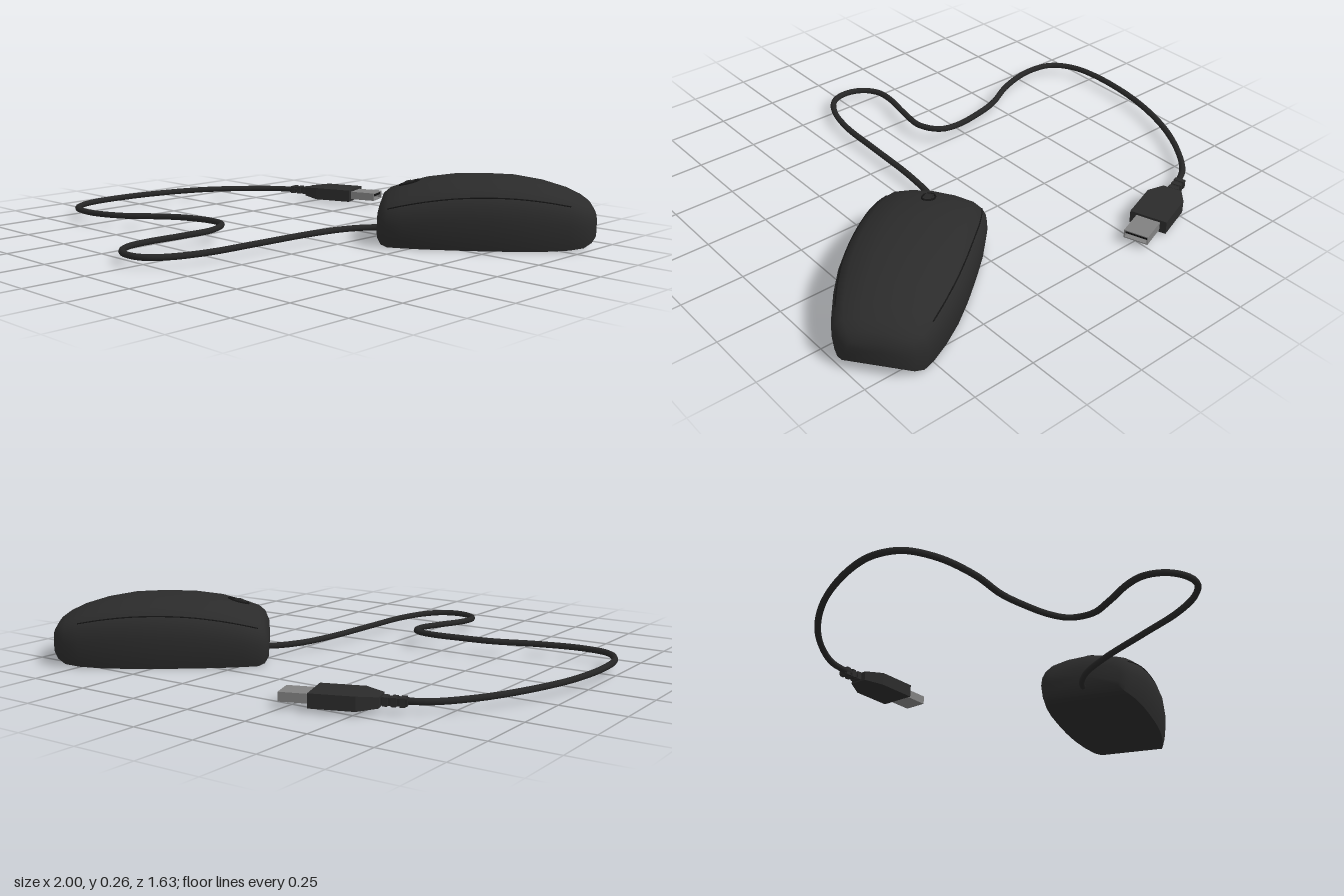
import * as THREE from 'three';
import { toCreasedNormals } from 'three/addons/utils/BufferGeometryUtils.js';

const mat = (name, color) => new THREE.MeshStandardMaterial({ name, color });

// Skins a row of closed sections (loops of [x, y, z], running from +z over the top to -z)
function loft(sections, crease) {
  const pos = [];
  const tri = (...pts) => pts.forEach((p) => pos.push(...p));
  const n = sections[0].length;
  const centre = (s) => [0, 1, 2].map((k) => s.reduce((sum, p) => sum + p[k], 0) / n);
  const first = sections[0], last = sections[sections.length - 1];
  for (let j = 0; j < n; j++) {
    const k = (j + 1) % n;
    for (let i = 0; i < sections.length - 1; i++) {
      const a = sections[i], b = sections[i + 1];
      tri(a[j], b[j], a[k]);
      tri(b[j], b[k], a[k]);
    }
    tri(centre(first), first[j], first[k]);
    tri(centre(last), last[k], last[j]);
  }
  const geo = new THREE.BufferGeometry();
  geo.setAttribute('position', new THREE.Float32BufferAttribute(pos, 3));
  return toCreasedNormals(geo, crease);
}

// Shell stations from nose to tail: [x, half width, bottom, seam height, top]
const STATIONS = [
  [-0.395, 0.162, 0.03, 0.11, 0.13],
  [-0.38, 0.187, 0.008, 0.135, 0.175],
  [-0.355, 0.203, 0, 0.148, 0.197],
  [-0.3, 0.215, 0, 0.163, 0.217],
  [-0.21, 0.226, 0, 0.182, 0.243],
  [-0.1, 0.23, 0, 0.197, 0.258],
  [0.02, 0.23, 0, 0.203, 0.261],
  [0.13, 0.223, 0, 0.2, 0.258],
  [0.24, 0.205, 0, 0.187, 0.24],
  [0.33, 0.183, 0.003, 0.17, 0.213],
  [0.385, 0.163, 0.01, 0.153, 0.187],
  [0.415, 0.135, 0.025, 0.138, 0.165],
  [0.434, 0.1, 0.045, 0.118, 0.135],
];

function shellSection([x, w, b, s, t]) {
  const half = [
    [0.91, b], [0.96, b + (s - b) * 0.2], [1, b + (s - b) * 0.58], [0.975, b + (s - b) * 0.82],
    [0.9, s], [0.74, s + (t - s) * 0.5], [0.4, s + (t - s) * 0.87],
  ].map(([k, y]) => [x, y, k * w]);
  const mirrored = half.map(([px, y, z]) => [px, y, -z]).reverse();
  return [...half, [x, t, 0], ...mirrored];
}

export function createModel() {
  const shellMat = mat('charcoal plastic', 0x2b2b2b);
  const cableMat = mat('cable rubber', 0x262626);
  const darkMat = mat('black gap', 0x151515);
  const metalMat = mat('plug metal', 0x808080);

  const model = new THREE.Group();
  const add = (parent, name, geo, material, x = 0, y = 0, z = 0) => {
    const mesh = new THREE.Mesh(geo, material);
    mesh.name = name;
    mesh.position.set(x, y, z);
    parent.add(mesh);
    return mesh;
  };

  // Mouse: nose at local -x, tail at local +x
  const mouse = new THREE.Group();
  mouse.name = 'mouse';
  mouse.position.set(0.588, 0, -0.455);
  mouse.rotation.y = 0.658;
  model.add(mouse);
  add(mouse, 'shell', loft(STATIONS.map(shellSection), 0.7), shellMat);

  // Seam lines between the top panel and the sides
  for (const side of [-1, 1]) {
    const pts = STATIONS.slice(2, 10).map(([x, w, , s]) => new THREE.Vector3(x, s, side * w * 0.9));
    const seam = new THREE.TubeGeometry(new THREE.CatmullRomCurve3(pts), 32, 0.0025, 5);
    add(mouse, 'seam', seam, darkMat);
  }

  // Scroll wheel with its slot rim
  const rim = add(mouse, 'wheelSlot', new THREE.TorusGeometry(0.04, 0.005, 6, 24).rotateX(Math.PI / 2),
    darkMat, -0.277, 0.223, 0);
  rim.scale.z = 0.6;
  rim.rotation.z = 0.29;
  add(mouse, 'scrollWheel', new THREE.CylinderGeometry(0.04, 0.04, 0.028, 24).rotateX(Math.PI / 2),
    cableMat, -0.275, 0.192, 0);

  // Cable lying in loops: [x, y, z]
  const path = [
    [0.3, 0.04, -0.24], [0.25, 0.04, -0.19], [0.2, 0.04, -0.09], [0.172, 0.04, 0.08], [0.16, 0.04, 0.35],
    [0.15, 0.04, 0.56], [0.115, 0.04, 0.7], [0.06, 0.04, 0.78], [-0.01, 0.04, 0.802],
    [-0.085, 0.04, 0.78], [-0.13, 0.042, 0.715], [-0.132, 0.045, 0.63], [-0.1, 0.052, 0.48],
    [-0.083, 0.058, 0.35], [-0.125, 0.063, 0.265], [-0.2, 0.063, 0.245], [-0.34, 0.06, 0.265],
    [-0.45, 0.055, 0.3], [-0.61, 0.048, 0.385], [-0.78, 0.045, 0.428], [-0.9, 0.045, 0.405],
    [-0.965, 0.045, 0.32], [-0.987, 0.045, 0.19], [-0.968, 0.045, -0.05], [-0.9, 0.045, -0.28],
    [-0.81, 0.042, -0.45], [-0.7, 0.04, -0.58], [-0.6, 0.04, -0.632],
  ].map((p) => new THREE.Vector3(...p));
  add(model, 'cable', new THREE.TubeGeometry(new THREE.CatmullRomCurve3(path), 160, 0.0125, 8), cableMat);

  // Plug: mouth of the grip at the local origin, metal tip along +x
  const plug = new THREE.Group();
  plug.name = 'plug';
  plug.position.set(-0.33, 0.04, -0.735);
  plug.rotation.y = 0.337;
  model.add(plug);
  const gripSections = [[-0.235, 0.038, 0.019], [-0.165, 0.074, 0.026], [0, 0.074, 0.026]].map(
    ([x, w, h]) => [[x, -h, w], [x, h, w], [x, h, -w], [x, -h, -w]]);
  add(plug, 'grip', loft(gripSections, 0.2), shellMat);

  // Ribbed strain relief
  add(plug, 'strainRelief', new THREE.BoxGeometry(0.1, 0.026, 0.034), cableMat, -0.275);
  for (let i = 0; i < 3; i++) {
    add(plug, 'reliefRib', new THREE.BoxGeometry(0.018, 0.032, 0.042), shellMat, -0.25 - i * 0.03);
  }

  // Hollow metal tip with its contact tongue
  const L = 0.112, W = 0.096, H = 0.034, T = 0.004;
  for (const s of [-1, 1]) {
    add(plug, 'tipFace', new THREE.BoxGeometry(L, T, W), metalMat, L / 2, s * (H - T) / 2, 0);
    add(plug, 'tipSide', new THREE.BoxGeometry(L, H - 2 * T, T), metalMat, L / 2, 0, s * (W - T) / 2);
  }
  add(plug, 'contactTongue', new THREE.BoxGeometry(L - 0.006, 0.012, W - 2 * T), darkMat, L / 2 - 0.003, 0.006, 0);

  return model;
}
